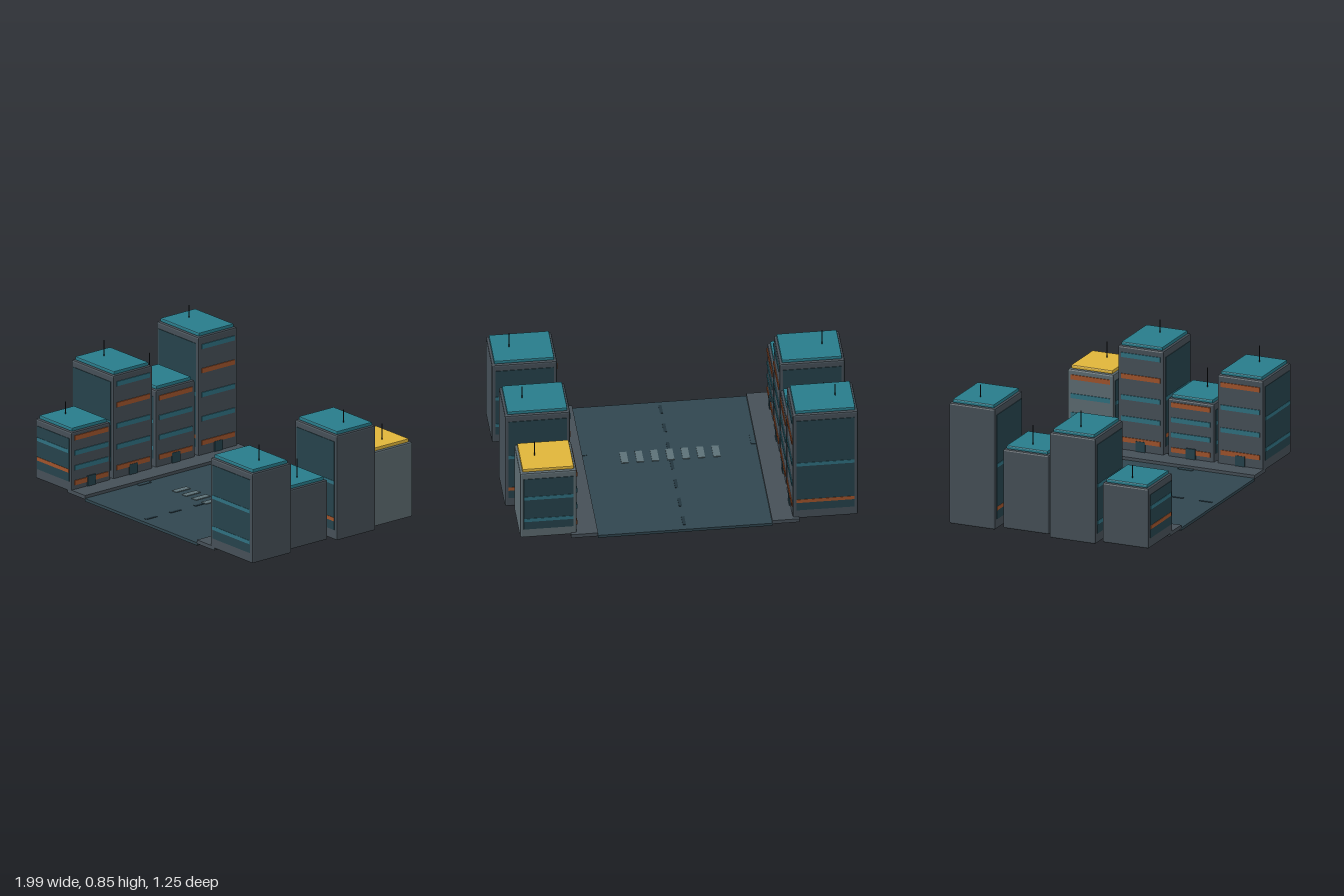
import * as THREE from 'three';
import { RoundedBoxGeometry } from 'three/addons/geometries/RoundedBoxGeometry.js';

const mat = (color) => new THREE.MeshStandardMaterial({ color, flatShading: true });
const M = {
  road: mat(0x30464f), mark: mat(0x5d7177), dash: mat(0x22343d), walk: mat(0x454f57),
  wall: mat(0x454f57), paleWall: mat(0x5c6a70), glass: mat(0x25424b),
  teal: mat(0x2f7080), orange: mat(0xa0532b), roof: mat(0x287c8b), yellow: mat(0xdfb53a),
  dark: mat(0x1c2226),
};

// Box given by its lower and upper corners; r bevels the edges
function box(parent, name, material, [x0, y0, z0], [x1, y1, z1], r = 0) {
  const w = x1 - x0, h = y1 - y0, d = z1 - z0;
  const geo = r ? new RoundedBoxGeometry(w, h, d, 1, r) : new THREE.BoxGeometry(w, h, d);
  const mesh = new THREE.Mesh(geo, material);
  mesh.name = name;
  mesh.position.set((x0 + x1) / 2, (y0 + y1) / 2, (z0 + z1) / 2);
  parent.add(mesh);
  return mesh;
}

// Building on one side of the street; side is -1 or +1, index sets the accents
function building(side, index, z, top, width, special) {
  const g = new THREE.Group();
  g.name = 'building';
  const base = 0.025, h = top - base, inner = 0.62, cx = side * (inner + width / 2);
  const x0 = cx - width / 2, x1 = cx + width / 2, d = 0.145;
  box(g, 'walls', special ? M.paleWall : M.wall, [x0, base, z - d], [x1, top, z + d], 0.01);
  box(g, 'roof', special ? M.yellow : M.roof,
    [x0 + 0.015, top - 0.002, z - 0.13], [x1 - 0.015, top + 0.02, z + 0.13], 0.006);

  // Glazed panels with two bands on the end walls
  for (const s of [-1, 1]) {
    const slab = (name, m, y0, y1, inset, out) => {
      const za = z + s * (d - 0.01), zb = z + s * (d + out);
      box(g, name, m, [x0 + inset, y0, Math.min(za, zb)], [x1 - inset, y1, Math.max(za, zb)]);
    };
    slab('endGlass', M.glass, 0.085, top - 0.04, 0.02, 0.003);
    slab('lowerBand', index % 3 ? M.teal : M.orange, 0.138, 0.16, 0.021, 0.005);
    const y = 0.13 + 0.38 * h;
    slab('upperBand', M.teal, y - 0.011, y + 0.011, 0.021, 0.005);
  }

  // Window strips and door facing the street
  const floors = h > 0.6 ? 5 : 4;
  const xa = side * (inner + 0.01), xb = side * (inner - 0.005);
  const face = (name, m, y0, y1, half) => box(g, name, m,
    [Math.min(xa, xb), y0, z - half], [Math.max(xa, xb), y1, z + half]);
  for (let i = 0; i < floors; i++) {
    const y = base + (h * (i + 0.59)) / floors;
    face('windowStrip', i % 3 ? M.teal : M.orange, y - 0.014, y + 0.014, 0.123);
  }
  const door = face('door', M.glass, 0.03, 0.1, 0.03);
  door.scale.x = 1.3;

  // Roof antenna
  const len = 0.075 + 0.02 * (index % 3);
  const antenna = new THREE.Mesh(new THREE.CylinderGeometry(0.003, 0.003, len, 8), M.dark);
  antenna.name = 'antenna';
  antenna.position.set(cx + 0.06 * Math.sign(side) * (side < 0 ? -1 : 1), top + 0.02 + len / 2, z);
  antenna.position.x = side < 0 ? (width > 0.35 ? -0.88 : -0.85) : (width > 0.35 ? 0.88 : 0.845);
  g.add(antenna);
  return g;
}

export function createModel() {
  const model = new THREE.Group();
  model.name = 'streetBlock';

  // Road, side slab and sidewalks
  box(model, 'road', M.road, [-0.5, 0.003, -0.63], [0.5, 0.02, 0.62]);
  box(model, 'sideSlab', M.road, [0.49, 0, -0.45], [0.68, 0.016, 0.2]);
  for (const s of [-1, 1]) {
    const a = s * 0.5, b = s * 0.655;
    box(model, 'sidewalk', M.walk, [Math.min(a, b), 0.015, -0.63], [Math.max(a, b), 0.038, 0.62]);
    box(model, 'drain', M.road, [s * 0.485 - 0.014, 0.018, 0.15], [s * 0.485 + 0.014, 0.023, 0.24]);
  }

  // Painted markings
  for (let i = -3; i <= 3; i++) {
    box(model, 'laneDash', M.dash, [-0.009, 0.018, i * 0.182 - 0.04], [0.009, 0.0225, i * 0.182 + 0.04]);
    box(model, 'crossingStripe', M.mark, [i * 0.088 - 0.02, 0.018, 0.05], [i * 0.088 + 0.02, 0.0245, 0.155]);
  }

  // Two rows of buildings, back to front
  const zs = [-0.465, -0.15, 0.165, 0.475];
  const leftTops = [0.75, 0.5, 0.658, 0.385], rightTops = [0.475, 0.658, 0.385, 0.567];
  zs.forEach((z, i) => {
    model.add(building(-1, i * 2, z, leftTops[i], i % 2 ? 0.325 : 0.375, false));
    model.add(building(1, i * 2 + 1, z, rightTops[i], i % 2 ? 0.375 : 0.325, i === 0));
  });
  return model;
}
